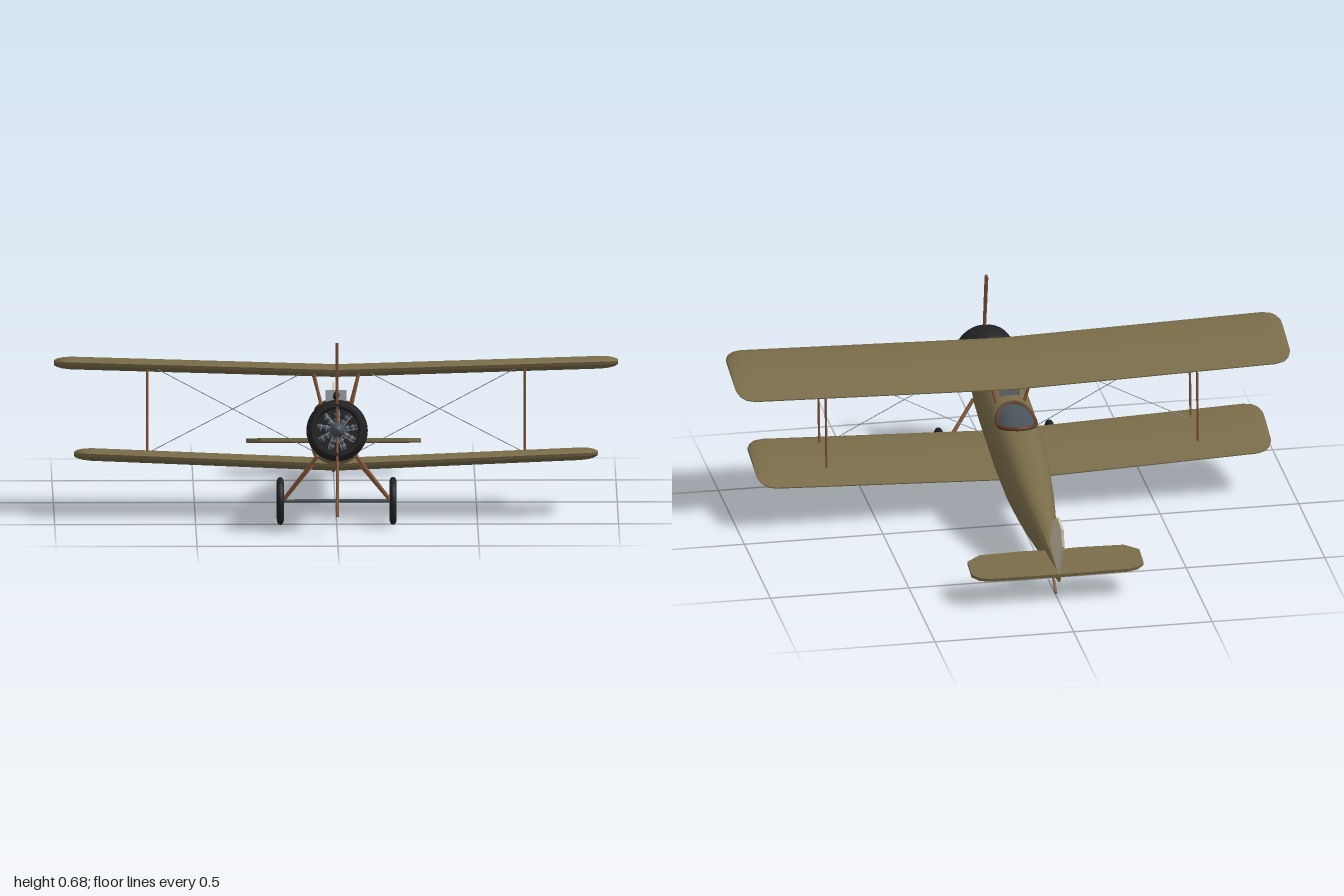
import * as THREE from 'three';
import { toCreasedNormals } from 'three/addons/utils/BufferGeometryUtils.js';

const PITCH = 0.19; // tail-down stance

const paint = (name, color) => {
  const m = new THREE.MeshStandardMaterial({ color });
  m.name = name;
  return m;
};
const V = (x, y, z) => new THREE.Vector3(x, y, z);

// Skin a closed solid over a series of point loops
function loft(rings, crease) {
  const n = rings[0].length, pos = [], idx = [];
  rings.forEach((r) => r.forEach((p) => pos.push(p.x, p.y, p.z)));
  for (let i = 0; i < rings.length - 1; i++) {
    for (let j = 0; j < n; j++) {
      const a = i * n + j, b = i * n + ((j + 1) % n);
      idx.push(a, b, a + n, b, b + n, a + n);
    }
  }
  const last = (rings.length - 1) * n;
  for (let j = 1; j < n - 1; j++) {
    idx.push(0, j + 1, j, last, last + j, last + j + 1);
  }
  const g = new THREE.BufferGeometry();
  g.setAttribute('position', new THREE.Float32BufferAttribute(pos, 3));
  g.setIndex(idx);
  return toCreasedNormals(g, crease);
}

// Wing with cambered section, slight dihedral and rounded tips
function wingGeometry(span, lead, trail, base, dihedral) {
  const top = [[1, 0.004], [0.8, 0.016], [0.55, 0.03], [0.3, 0.038], [0.12, 0.034], [0.04, 0.026], [0, 0.014]];
  const bottom = [[0.02, 0.003], [0.1, 0], [0.5, 0.004], [1, 0]];
  const tip = [[0, 0.055, 0.35], [0.012, 0.025, 0.65], [0.03, 0.008, 0.87], [0.06, 0, 1]];
  const stations = [
    ...tip.map(([d, cut, th]) => [d - span, cut, th]),
    [0, 0, 1],
    ...tip.map(([d, cut, th]) => [span - d, cut, th]).reverse(),
  ];
  return loft(stations.map(([x, cut, th]) => [...top, ...bottom].map(([s, h]) => V(
    x,
    base + dihedral * Math.abs(x) + h * th + (1 - th) * 0.018,
    lead - cut - s * (lead - trail - 2 * cut),
  ))), 0.7);
}

// Flat plate from an outline, with its thickness centred
function plate(points, thickness) {
  const g = new THREE.ExtrudeGeometry(new THREE.Shape(points.map((p) => new THREE.Vector2(...p))), { depth: thickness, bevelEnabled: false });
  return g.translate(0, 0, -thickness / 2);
}

export function createModel() {
  const olive = paint('olive fabric', 0x786b48);
  const black = paint('black', 0x222223);
  const wood = paint('wood', 0x8a5a3c);
  const leather = paint('leather', 0x5e3c28);
  const cream = paint('cream', 0xcfc5aa);
  const slate = paint('slate', 0x49525a);
  const steel = paint('steel', 0x858c92);

  const model = new THREE.Group();
  model.name = 'biplane';
  const body = new THREE.Group(); // level airframe, pitched as a whole
  body.name = 'airframe';
  body.rotation.x = -PITCH;
  model.add(body);

  const add = (parent, name, geometry, material) => {
    const m = new THREE.Mesh(geometry, material);
    m.name = name;
    parent.add(m);
    return m;
  };
  // Round or flattened bar between two points
  const rod = (name, a, b, r, material, flat = 1) => {
    const m = add(model, name, new THREE.CylinderGeometry(r, r, a.distanceTo(b), r < 0.003 ? 5 : 10), material);
    m.position.copy(a).add(b).multiplyScalar(0.5);
    m.quaternion.setFromUnitVectors(V(0, 1, 0), b.clone().sub(a).normalize());
    m.scale.x = flat;
    return m;
  };

  // Fuselage: z, bottom, top, half width
  const sections = [
    [-0.695, 0.211, 0.244, 0.006], [-0.58, 0.188, 0.265, 0.02], [-0.45, 0.166, 0.287, 0.038],
    [-0.33, 0.147, 0.303, 0.055], [-0.21, 0.131, 0.322, 0.07], [-0.06, 0.118, 0.345, 0.083],
    [0.1, 0.12, 0.348, 0.09], [0.31, 0.122, 0.348, 0.091], [0.42, 0.122, 0.342, 0.09],
    [0.51, 0.127, 0.328, 0.088], [0.6, 0.146, 0.312, 0.084],
  ];
  const power = (v, e) => Math.sign(v) * Math.abs(v) ** e;
  add(body, 'fuselage', loft(sections.map(([z, lo, hi, w]) => {
    const e = z > 0.55 ? 1 : 0.8;
    return Array.from({ length: 32 }, (_, i) => {
      const a = (i / 32) * Math.PI * 2;
      return V(w * power(Math.cos(a), e), (lo + hi) / 2 + (hi - lo) / 2 * power(Math.sin(a), e), z);
    });
  }), 0.9), olive);

  // Cockpit opening and padded rim, draped over the top decking
  const deck = (x) => 0.234 + 0.114 * (1 - Math.min(1, Math.abs(x) / 0.0905) ** 2.5) ** 0.4;
  const opening = new THREE.RingGeometry(0.001, 1, 32, 5).rotateX(-Math.PI / 2).scale(0.066, 1, 0.083);
  const op = opening.attributes.position;
  for (let i = 0; i < op.count; i++) op.setY(i, deck(op.getX(i)) + 0.004);
  opening.translate(0, 0, 0.165).computeVertexNormals();
  add(body, 'cockpitOpening', opening, slate);
  const rimPath = Array.from({ length: 32 }, (_, i) => {
    const a = (i / 32) * Math.PI * 2, x = 0.068 * Math.cos(a);
    return V(x, deck(x) + 0.003, 0.165 + 0.085 * Math.sin(a));
  });
  add(body, 'cockpitRim', new THREE.TubeGeometry(new THREE.CatmullRomCurve3(rimPath, true), 64, 0.008, 8, true), leather);
  const screen = add(body, 'windscreen', new THREE.BoxGeometry(0.075, 0.045, 0.004), steel);
  screen.position.set(0, 0.366, 0.303);
  screen.rotation.x = -0.2;

  // Engine cowl, firewall and radial engine
  const nose = new THREE.Group();
  nose.name = 'nose';
  nose.position.y = 0.23;
  body.add(nose);
  const cowl = [[0.084, 0.585], [0.086, 0.65], [0.097, 0.668], [0.106, 0.69], [0.109, 0.72], [0.108, 0.755],
    [0.102, 0.785], [0.092, 0.8], [0.082, 0.8], [0.077, 0.79], [0.077, 0.7], [0.001, 0.7]];
  add(nose, 'cowl', toCreasedNormals(new THREE.LatheGeometry(cowl.map((p) => new THREE.Vector2(...p)).reverse(), 40)
    .rotateX(Math.PI / 2), 0.7), black).material.side = THREE.DoubleSide;
  add(nose, 'crankcase', new THREE.CylinderGeometry(0.026, 0.03, 0.08, 20).rotateX(Math.PI / 2), slate).position.z = 0.74;
  for (let i = 0; i < 9; i++) {
    const arm = new THREE.Group();
    arm.name = 'engineCylinder';
    arm.rotation.z = (i / 9) * Math.PI * 2;
    nose.add(arm);
    add(arm, 'cylinderBarrel', new THREE.CylinderGeometry(0.01, 0.01, 0.045, 10), slate).position.set(0, 0.05, 0.75);
    for (let k = 0; k < 4; k++) {
      add(arm, 'coolingFin', new THREE.CylinderGeometry(0.0125, 0.0125, 0.003, 10), k % 2 ? black : steel).position.set(0, 0.038 + k * 0.01, 0.75);
    }
    add(arm, 'pushrod', new THREE.CylinderGeometry(0.002, 0.002, 0.05, 6), steel).position.set(0.008, 0.048, 0.766);
  }
  const tipCone = [[0.001, 0.84], [0.01, 0.836], [0.019, 0.824], [0.025, 0.806], [0.026, 0.79], [0.022, 0.77], [0.001, 0.77]];
  add(nose, 'spinner', new THREE.LatheGeometry(tipCone.map((p) => new THREE.Vector2(...p)).reverse(), 24).rotateX(Math.PI / 2), slate);

  // Two-bladed propeller
  const blade = [[0.308, 0.009], [0.302, 0.012], [0.2, 0.014], [0.1, 0.013], [0.03, 0.01]];
  const bladeStations = [...blade.map(([y, w]) => [-y, w]), ...blade.slice().reverse()];
  add(nose, 'propeller', loft(bladeStations.map(([y, w]) => Array.from({ length: 12 }, (_, i) => {
    const a = (i / 12) * Math.PI * 2;
    return V(0.005 * Math.cos(a), y, -w * Math.sin(a)).applyAxisAngle(V(0, 1, 0), y * 0.8);
  })), 0.9), wood).position.z = 0.788;

  // Wings and tail
  add(body, 'upperWing', wingGeometry(1, 0.512, 0.203, 0.438, 0.03), olive);
  add(body, 'lowerWing', wingGeometry(0.928, 0.417, 0.122, 0.108, 0.042), olive);
  const half = [[0, 0.54], [0.1, 0.535], [0.26, 0.54], [0.31, 0.575], [0.31, 0.66], [0.285, 0.685], [0.25, 0.695], [0, 0.698]];
  const outline = [...half, ...half.slice(1, -1).reverse().map(([x, z]) => [-x, z])];
  add(body, 'tailplane', plate(outline, 0.012).rotateX(-Math.PI / 2), olive).position.y = 0.24;
  const fin = [[0.563, 0.15], [0.62, 0.27], [0.709, 0.32], [0.79, 0.304], [0.8, 0.244], [0.73, 0.107], [0.7, 0.107]];
  add(model, 'fin', plate(fin, 0.009).rotateY(Math.PI / 2), cream);
  rod('tailSkid', V(0, 0.085, -0.57), V(0, 0.008, -0.66), 0.005, wood);

  // Gun on the decking
  rod('gunBody', V(0, 0.422, 0.285), V(0, 0.452, 0.41), 0.011, black);
  rod('gunJacket', V(0, 0.448, 0.4), V(0, 0.468, 0.51), 0.008, black);
  rod('gunBarrel', V(0, 0.465, 0.5), V(0, 0.475, 0.55), 0.004, black);
  rod('gunMount', V(0, 0.4, 0.36), V(0, 0.44, 0.36), 0.006, black);

  // Struts, rigging and landing gear on each side
  for (const s of [1, -1]) {
    rod('frontWingStrut', V(s * 0.67, 0.22, 0.318), V(s * 0.67, 0.56, 0.347), 0.008, wood, 0.5);
    rod('rearWingStrut', V(s * 0.67, 0.195, 0.178), V(s * 0.67, 0.525, 0.2), 0.008, wood, 0.5);
    rod('frontCabaneStrut', V(s * 0.05, 0.39, 0.382), V(s * 0.085, 0.545, 0.37), 0.006, wood);
    rod('rearCabaneStrut', V(s * 0.05, 0.38, 0.214), V(s * 0.085, 0.51, 0.208), 0.006, wood);
    rod('flyingWire', V(s * 0.08, 0.23, 0.3), V(s * 0.66, 0.54, 0.3), 0.0015, steel);
    rod('landingWire', V(s * 0.085, 0.53, 0.3), V(s * 0.66, 0.23, 0.3), 0.0015, steel);
    rod('frontGearLeg', V(s * 0.068, 0.255, 0.56), V(s * 0.188, 0.09, 0.507), 0.007, wood);
    rod('rearGearLeg', V(s * 0.07, 0.21, 0.36), V(s * 0.188, 0.09, 0.507), 0.007, wood);

    const wheel = new THREE.Group();
    wheel.name = s > 0 ? 'leftWheel' : 'rightWheel';
    wheel.position.set(s * 0.2, 0.085, 0.507);
    wheel.rotation.y = Math.PI / 2;
    model.add(wheel);
    add(wheel, 'tyre', new THREE.TorusGeometry(0.067, 0.018, 14, 40), black).scale.z = 0.7;
    add(wheel, 'wheelDisc', new THREE.CylinderGeometry(0.053, 0.053, 0.014, 32).rotateX(Math.PI / 2), cream);
    add(wheel, 'hub', new THREE.CylinderGeometry(0.02, 0.02, 0.022, 20).rotateX(Math.PI / 2), slate);
  }
  rod('axle', V(-0.2, 0.085, 0.507), V(0.2, 0.085, 0.507), 0.006, slate);
  return model;
}
